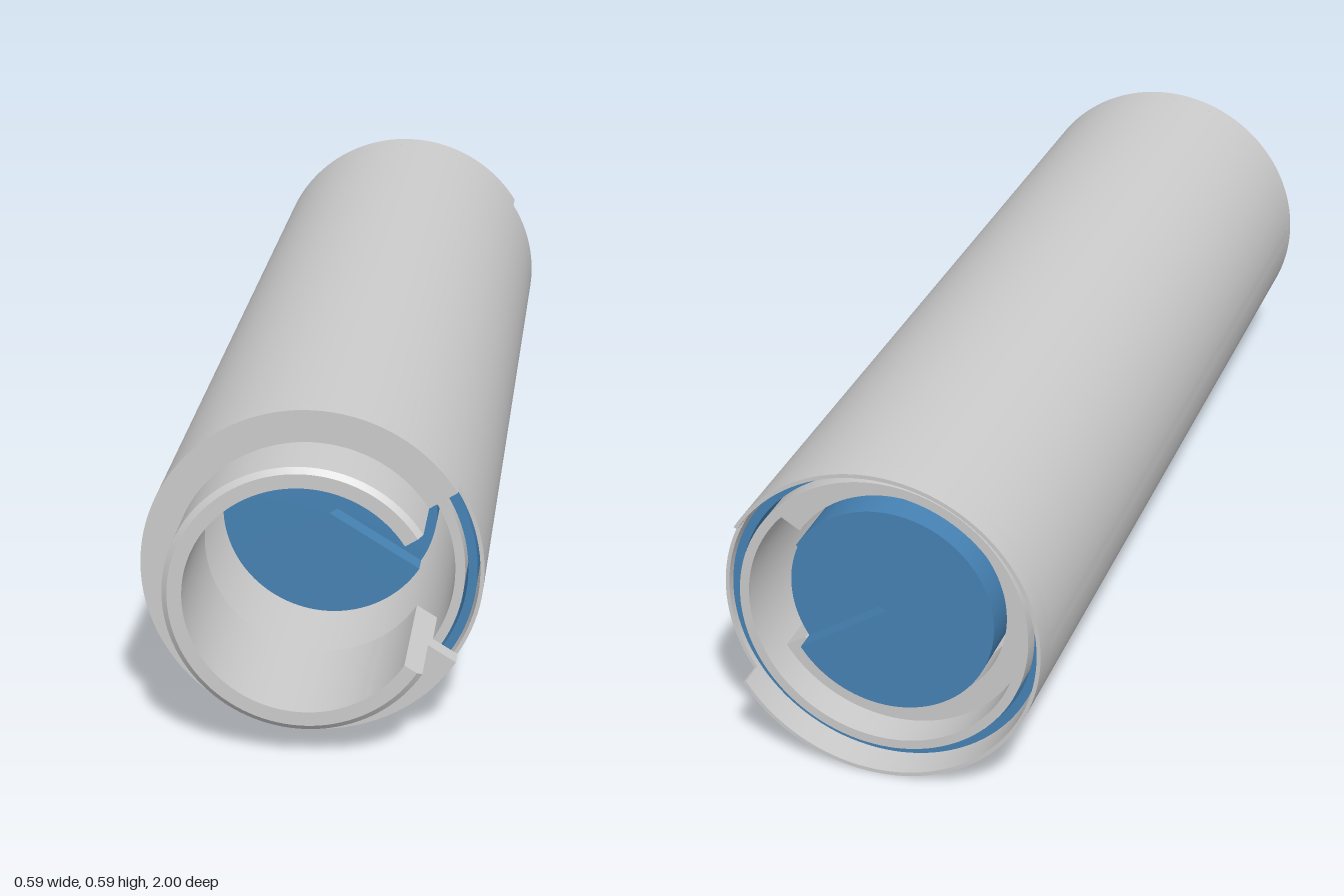
import * as THREE from 'three';
import { mergeGeometries, toCreasedNormals } from 'three/addons/utils/BufferGeometryUtils.js';

const CUT = THREE.MathUtils.degToRad(32); // half angle of the notch facing +x
const grey = new THREE.MeshStandardMaterial({ color: 0xcccccc, side: THREE.DoubleSide });
const blue = new THREE.MeshStandardMaterial({ color: 0x4682b4, side: THREE.DoubleSide });

// Revolve a closed profile of [radius, z] points around the z axis; angles start at +x.
function revolve(profile, from = 0, to = Math.PI * 2) {
  const pts = profile.map(([r, z]) => new THREE.Vector2(r, z));
  const span = to - from;
  const lathe = new THREE.LatheGeometry([...pts, pts[0]], Math.ceil(span / 0.055), from + Math.PI / 2, span);
  const parts = [toCreasedNormals(lathe.rotateX(Math.PI / 2), 0.4)];
  if (span < Math.PI * 2 - 0.01) {
    for (const angle of [from, to]) {
      const cap = new THREE.ShapeGeometry(new THREE.Shape(pts));
      parts.push(cap.rotateX(Math.PI / 2).rotateZ(angle).toNonIndexed());
    }
  }
  return mergeGeometries(parts);
}

// Rectangular cross-section, counterclockwise
const rect = (r0, r1, z0, z1) => [[r0, z0], [r1, z0], [r1, z1], [r0, z1]];

export function createModel() {
  const model = new THREE.Group();
  const add = (name, geometry, material = grey) => {
    const mesh = new THREE.Mesh(geometry, material);
    mesh.name = name;
    mesh.position.y = 0.295;
    model.add(mesh);
  };
  const open = [CUT, Math.PI * 2 - CUT];

  // Outer casing: full tube, with notched rim at the back
  add('outerShell', revolve(rect(0.288, 0.295, -0.95, 0.84)));
  add('backRim', revolve(rect(0.288, 0.295, -1, -0.95), ...open));

  // Notched front collar with the projecting neck
  add('frontCollar', revolve([
    [0.203, 0.75], [0.245, 0.75], [0.245, 0.84], [0.295, 0.84], [0.295, 0.875],
    [0.238, 0.875], [0.238, 0.992], [0.228, 1], [0.203, 1],
  ], ...open));

  // Nested tubes inside the casing
  add('middleSleeve', revolve(rect(0.267, 0.283, -0.945, 0.835)), blue);
  add('innerTube', revolve(rect(0.245, 0.262, -0.965, 0.84)));
  add('backFlange', revolve(rect(0.203, 0.245, -0.9, -0.8), ...open));

  // Solid core, its wedge slightly recessed at both ends
  add('core', revolve(rect(0, 0.193, -0.94, 0.6), ...open), blue);
  add('coreWedge', revolve(rect(0, 0.193, -0.9, 0.56), -CUT, CUT), blue);

  return model;
}
